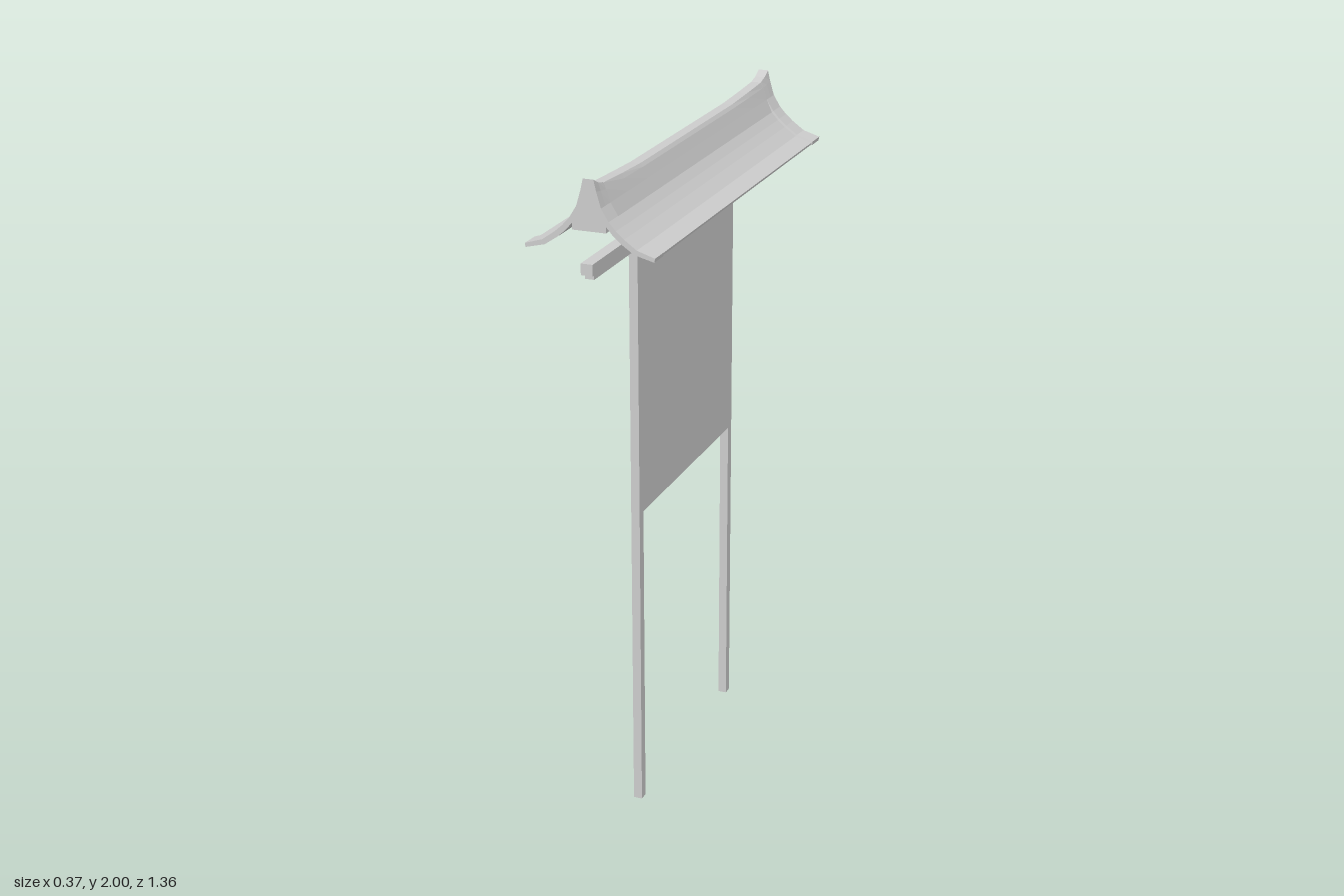
import * as THREE from 'three';

const material = new THREE.MeshStandardMaterial({ color: 0xcccccc, flatShading: true, side: THREE.DoubleSide });

// Right half of the roof outline, from the ridge down to the eave and back under to the prism base
function roofOutline(top, grow) {
  const half = [
    [0.015, top], [0.022, 1.955 + (top - 1.965) * 0.4], [0.035, 1.925], [0.052, 1.887],
    [0.072, 1.865], [0.095, 1.845], [0.13, 1.82], [0.181, 1.804],
    [0.179, 1.797], [0.127, 1.811], [0.09, 1.836], [0.068, 1.855], [0.048, 1.878], [0.048, 1.86],
  ].map(([x, y], i) => new THREE.Vector2(
    i >= 3 && i <= 8 ? x + grow : x,
    i >= 3 && i <= 7 ? y + grow : y));
  const mirrored = half.map((p) => new THREE.Vector2(-p.x, p.y)).reverse();
  return [...half, ...mirrored];
}

// Skin a row of equal-sized outlines along z and close both ends
function loft(sections) {
  const positions = [];
  const index = [];
  const n = sections[0].outline.length;
  for (const { z, outline } of sections) for (const p of outline) positions.push(p.x, p.y, z);
  for (let s = 0; s < sections.length - 1; s++) {
    for (let i = 0; i < n; i++) {
      const a = s * n + i, b = s * n + (i + 1) % n;
      index.push(a, a + n, b, b, a + n, b + n);
    }
  }
  const last = (sections.length - 1) * n;
  for (const [a, b, c] of THREE.ShapeUtils.triangulateShape(sections[0].outline, [])) {
    index.push(a, b, c);
    index.push(last + a, last + c, last + b);
  }
  const geometry = new THREE.BufferGeometry();
  geometry.setAttribute('position', new THREE.Float32BufferAttribute(positions, 3));
  geometry.setIndex(index);
  const flat = geometry.toNonIndexed();
  flat.computeVertexNormals();
  return flat;
}

export function createModel() {
  const model = new THREE.Group();
  model.name = 'roofedSignboard';

  const add = (name, geometry) => {
    const mesh = new THREE.Mesh(geometry, material);
    mesh.name = name;
    model.add(mesh);
    return mesh;
  };
  // Box given by its width, its y range and its z range
  const box = (name, width, y0, y1, z0, z1) =>
    add(name, new THREE.BoxGeometry(width, y1 - y0, z1 - z0))
      .position.set(0, (y0 + y1) / 2, (z0 + z1) / 2);

  // Posts and the board between them
  box('frontPost', 0.026, 0, 1.78, 0.342, 0.37);
  box('backPost', 0.026, 0, 1.78, -0.37, -0.342);
  box('board', 0.026, 0.937, 1.745, -0.342, 0.342);

  // Cross beam with a thin strip below and the panel that carries the roof
  box('crossBeam', 0.034, 1.745, 1.777, -0.678, 0.678);
  box('beamStrip', 0.026, 1.73, 1.745, -0.66, 0.66);
  box('roofSupport', 0.032, 1.777, 1.862, -0.35, 0.35);

  // Curved roof: the ridge sweeps up to wider end bands
  const stations = [
    [0.66, 2.0, 0.004], [0.63, 1.985, 0.004], [0.598, 1.977, 0.004],
    [0.596, 1.976, 0], [0.48, 1.97, 0], [0.35, 1.965, 0],
  ];
  const sections = [...stations.map(([z, ...r]) => [-z, ...r]), ...stations.reverse()]
    .map(([z, top, grow]) => ({ z, outline: roofOutline(top, grow) }));
  const roof = loft(sections);
  // Loft outlines run clockwise, so the skin already faces outward
  add('roof', roof);

  return model;
}
